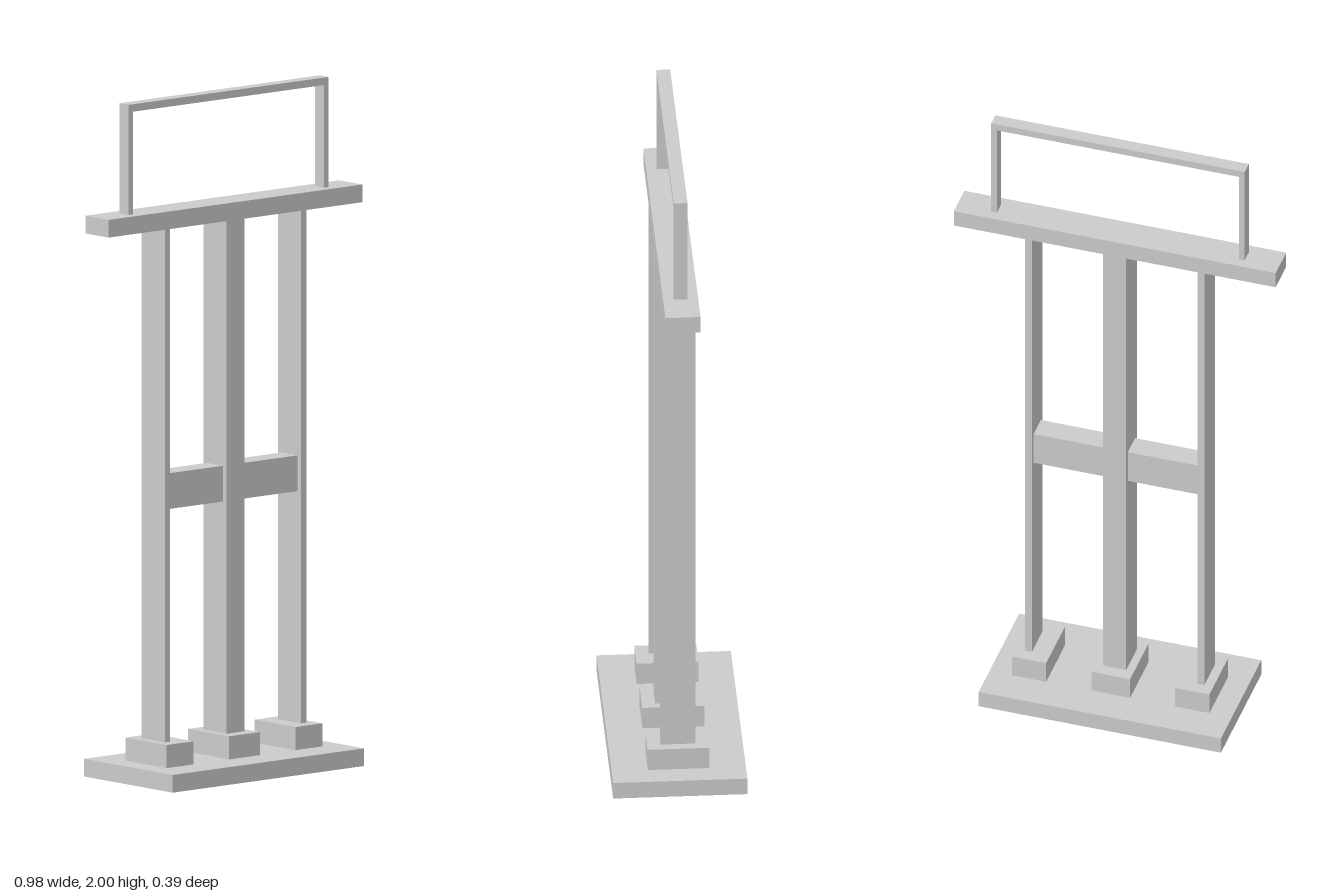
import * as THREE from 'three';

const material = new THREE.MeshStandardMaterial({ color: 0xcccccc, flatShading: true });
const shellMaterial = new THREE.MeshStandardMaterial({
  color: 0xcccccc, flatShading: true, side: THREE.DoubleSide,
});

// Box of the given width and depth, centred on x and z, spanning y0 to y1
function addBox(parent, name, width, depth, y0, y1, x = 0) {
  const mesh = new THREE.Mesh(new THREE.BoxGeometry(width, y1 - y0, depth), material);
  mesh.name = name;
  mesh.position.set(x, (y0 + y1) / 2, 0);
  parent.add(mesh);
  return mesh;
}

export function createModel() {
  const model = new THREE.Group();
  model.name = 'standingFrame';

  const baseTop = 0.052, footTop = 0.12, beamBottom = 1.625, beamTop = 1.677;

  // Base plate: a thin shell, open underneath
  const base = addBox(model, 'basePlate', 0.736, 0.39, 0, baseTop);
  const index = Array.from(base.geometry.index.array);
  index.splice(18, 6); // the bottom face
  base.geometry.setIndex(index);
  base.geometry.clearGroups();
  base.material = shellMaterial;

  // Central post and its foot
  addBox(model, 'centreFoot', 0.118, 0.18, baseTop, footTop);
  addBox(model, 'centrePost', 0.07, 0.102, footTop, beamBottom);

  // Handle on top of the beam
  const handle = new THREE.Group();
  handle.name = 'handle';
  model.add(handle);
  addBox(handle, 'handleBar', 0.77, 0.04, 1.978, 2);

  // Mirrored parts on both sides
  for (const [side, s] of [['left', 1], ['right', -1]]) {
    addBox(model, side + 'Foot', 0.104, 0.18, baseTop, footTop, s * 0.248);
    addBox(model, side + 'Post', 0.021, 0.102, footTop, beamBottom, s * 0.262);
    addBox(model, side + 'Crossbar', 0.2165, 0.07, 0.8, 0.905, s * 0.14325);
    addBox(handle, side + 'HandleLeg', 0.017, 0.04, beamTop, 1.978, s * 0.3765);
  }

  // Top beam
  addBox(model, 'topBeam', 0.978, 0.102, beamBottom, beamTop);

  return model;
}
